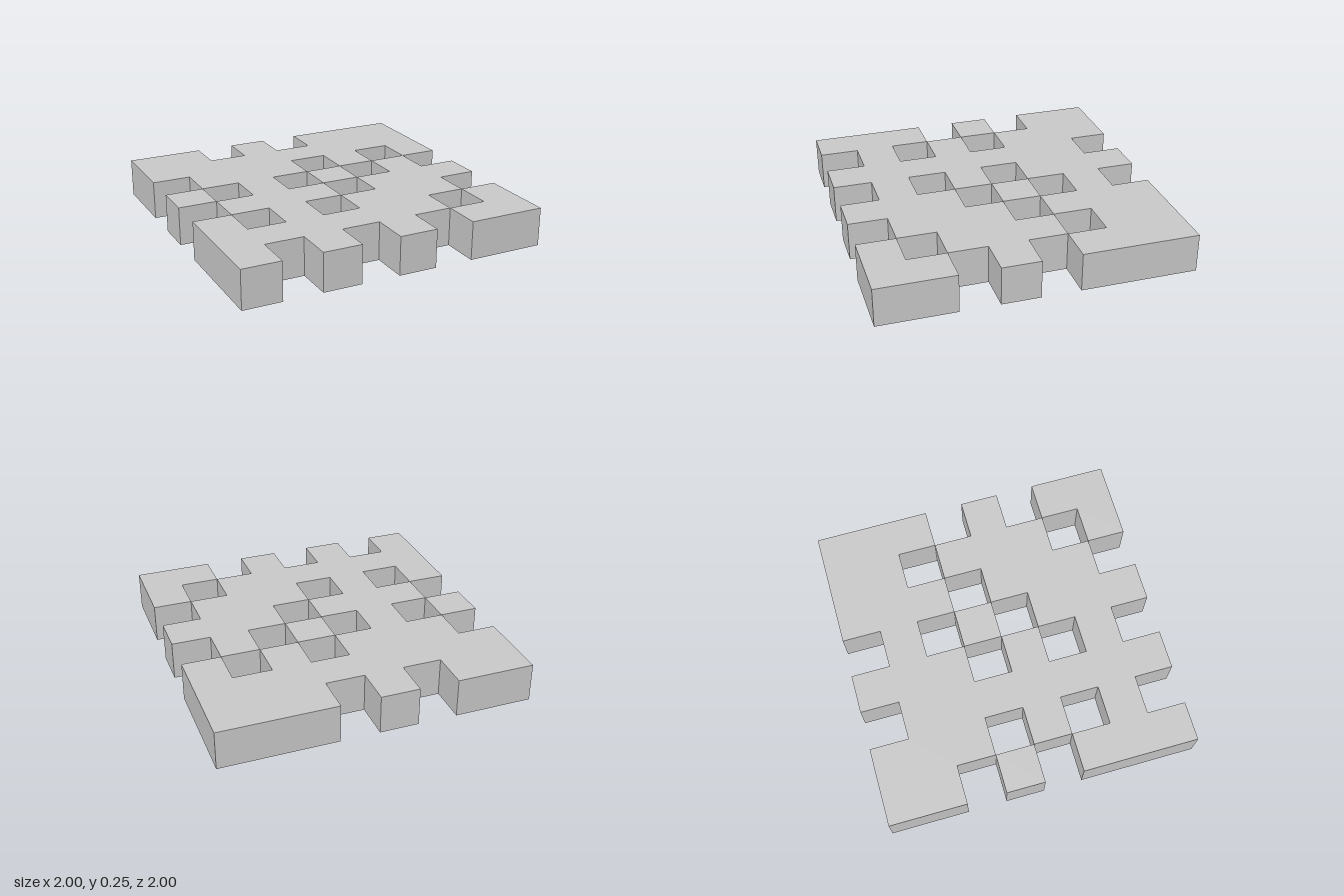
import * as THREE from 'three';
import { mergeGeometries } from 'three/addons/utils/BufferGeometryUtils.js';

// Plan of the slab: rows run back to front, columns from -x to +x
const PLAN = [
  '##.#.###',
  '########',
  '.###.#.#',
  '#.#.#.#.',
  '.###.###',
  '#.#.###.',
  '######.#',
  '#.#.#.##',
];
const CELL = 0.25;
const filled = (col, row) => PLAN[row]?.[col] === '#';

export function createModel() {
  const faces = [];

  // One square cell face, pushed out from the cell centre after turning
  const addFace = (x, z, turnX, turnY) => {
    const face = new THREE.PlaneGeometry(CELL, CELL);
    face.translate(0, 0, CELL / 2);
    face.rotateX(turnX).rotateY(turnY);
    face.translate(x, CELL / 2, z);
    faces.push(face);
  };

  // Wall directions: column step, row step
  const sides = [[0, 1], [1, 0], [0, -1], [-1, 0]];

  PLAN.forEach((line, row) => {
    for (let col = 0; col < line.length; col++) {
      if (!filled(col, row)) continue;
      const x = -1 + (col + 0.5) * CELL;
      const z = -1 + (row + 0.5) * CELL;
      // Top and underside
      addFace(x, z, -Math.PI / 2, 0);
      addFace(x, z, Math.PI / 2, 0);
      // Walls only where the neighbouring cell is open
      sides.forEach(([dc, dr], i) => {
        if (!filled(col + dc, row + dr)) addFace(x, z, 0, i * Math.PI / 2);
      });
    }
  });

  const slab = new THREE.Mesh(
    mergeGeometries(faces),
    new THREE.MeshStandardMaterial({ color: 0xcccccc, flatShading: true })
  );
  slab.name = 'perforatedSlab';

  const model = new THREE.Group();
  model.name = 'gridTile';
  model.add(slab);
  return model;
}
